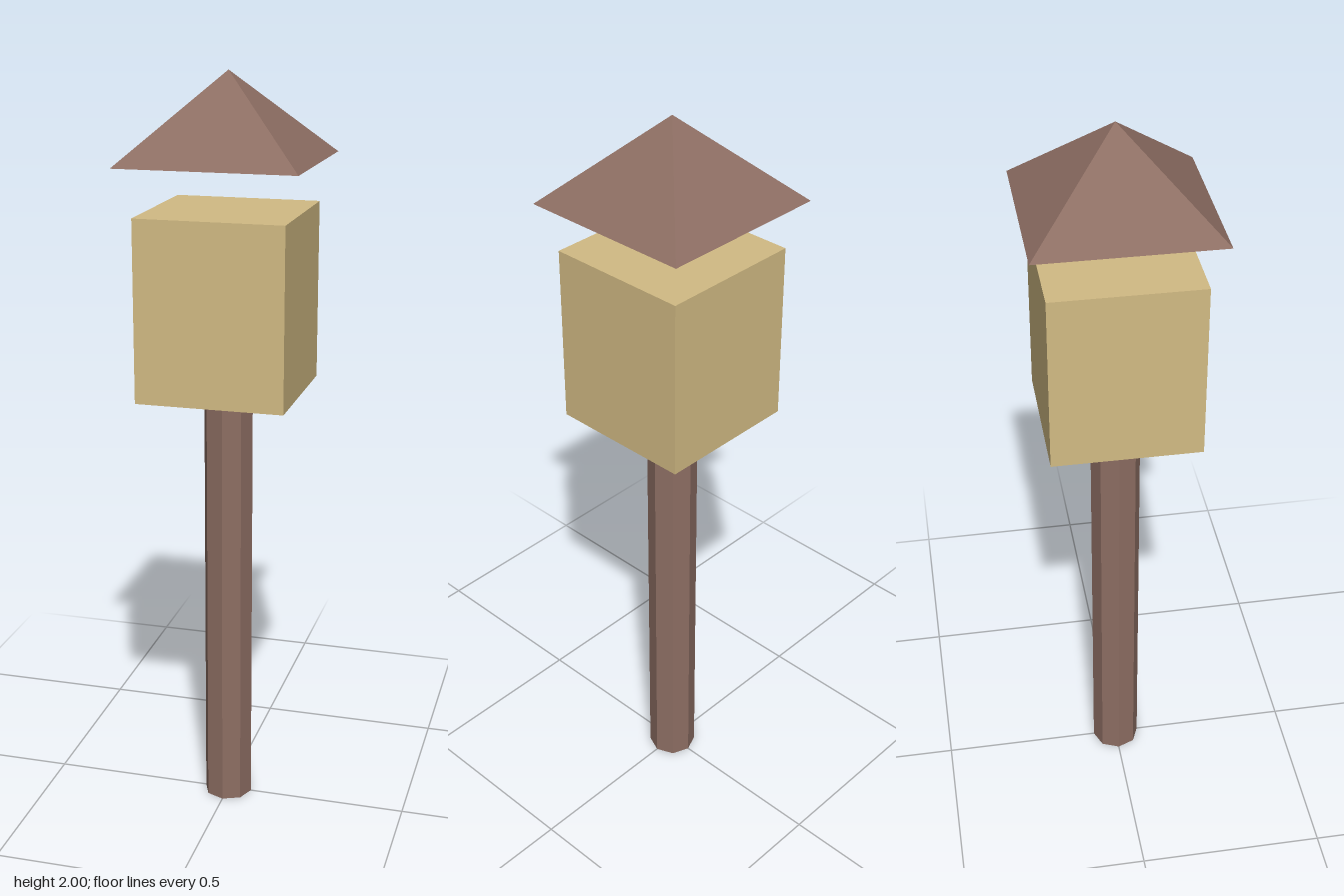
import * as THREE from 'three';

export function createModel() {
  const model = new THREE.Group();
  model.name = 'lampPost';
  const wood = new THREE.MeshStandardMaterial({ color: 0x8d6e63, flatShading: true });
  const glow = new THREE.MeshStandardMaterial({ color: 0xd2bb84, flatShading: true });

  // Adds a part whose underside rests at the given height
  const add = (name, geometry, material, bottom, height) => {
    const mesh = new THREE.Mesh(geometry, material);
    mesh.name = name;
    mesh.position.y = bottom + height / 2;
    model.add(mesh);
  };

  // Eight-sided post
  add('post', new THREE.CylinderGeometry(0.066, 0.066, 1.182, 8), wood, 0, 1.182);

  // Square lantern box
  add('lantern', new THREE.BoxGeometry(0.388, 0.473, 0.388), glow, 1.182, 0.473);

  // Four-sided pyramid roof, floating above the lantern
  const roof = new THREE.ConeGeometry(0.233 * Math.SQRT2, 0.22, 4);
  roof.rotateY(Math.PI / 4);
  add('roof', roof, wood, 1.78, 0.22);

  return model;
}
